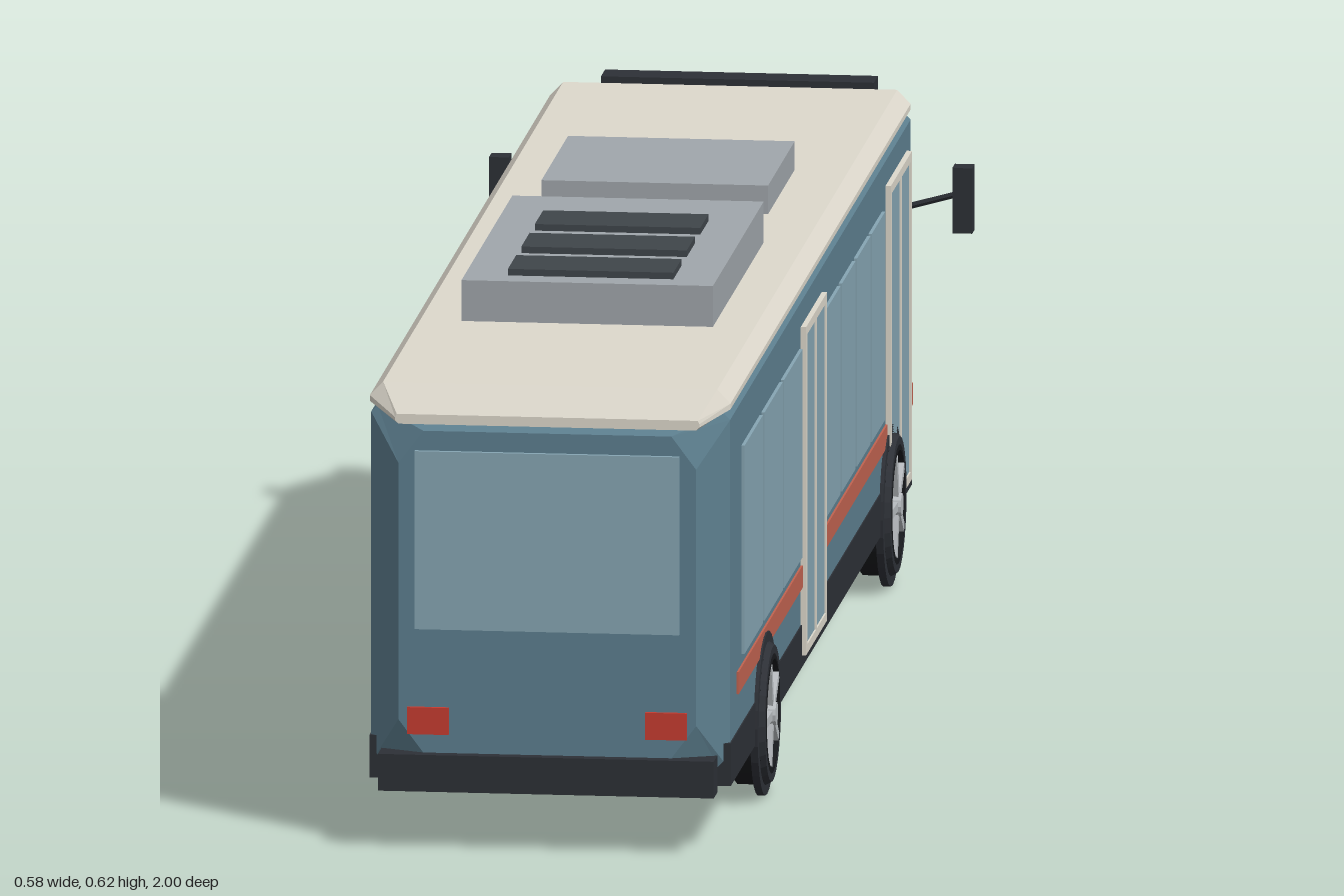
import * as THREE from 'three';

const paint = (color, extra = {}) => new THREE.MeshStandardMaterial({ color, flatShading: true, ...extra });
const M = {
  blue: paint(0x5d7f8f), glass: paint(0x86a5b3), cream: paint(0xddd8cc), dark: paint(0x2d3036),
  black: paint(0x17191c), grey: paint(0xa0a6ab), vent: paint(0x3f454a), red: paint(0xc63c31),
  stripe: paint(0xc0624f), amber: paint(0xd08c22), lamp: paint(0xd8d2b4), rim: paint(0xb8bcc0),
};

export function createModel() {
  const bus = new THREE.Group();
  bus.name = 'cityBus';

  const add = (name, geometry, material, parent = bus) => {
    const mesh = new THREE.Mesh(geometry, material);
    mesh.name = name;
    parent.add(mesh);
    return mesh;
  };
  // Box given by its limits on each axis
  const box = (name, mat, x0, x1, y0, y1, z0, z1, parent = bus) => {
    const m = add(name, new THREE.BoxGeometry(Math.abs(x1 - x0), y1 - y0, Math.abs(z1 - z0)), mat, parent);
    m.position.set((x0 + x1) / 2, (y0 + y1) / 2, (z0 + z1) / 2);
    return m;
  };
  // Skin over cross-sections running from +z to -z, with closed ends
  const loft = (rings) => {
    const pos = [];
    const tri = (...pts) => pts.forEach((p) => pos.push(...p));
    const n = rings[0].length;
    for (let r = 0; r < rings.length - 1; r++) {
      const a = rings[r], b = rings[r + 1];
      for (let i = 0; i < n; i++) {
        const j = (i + 1) % n;
        tri(a[i], b[i], a[j]);
        tri(a[j], b[i], b[j]);
      }
    }
    const first = rings[0], last = rings[rings.length - 1];
    for (let i = 1; i < n - 1; i++) {
      tri(first[0], first[i], first[i + 1]);
      tri(last[0], last[i + 1], last[i]);
    }
    const g = new THREE.BufferGeometry();
    g.setAttribute('position', new THREE.Float32BufferAttribute(pos, 3));
    g.computeVertexNormals();
    return g;
  };
  // Octagon section: half width, bottom, top, corner cut in x and y
  const section = (z, w, y0, y1, cx, cy) => [
    [w - cx, y0, z], [w, y0 + cy, z], [w, y1 - cy, z], [w - cx, y1, z],
    [cx - w, y1, z], [-w, y1 - cy, z], [-w, y0 + cy, z], [cx - w, y0, z],
  ];

  // Body shell with bevelled ends
  add('bodyShell', loft([
    section(0.985, 0.18, 0.118, 0.512, 0.03, 0.04),
    section(0.95, 0.217, 0.09, 0.535, 0.008, 0.008),
    section(-0.88, 0.217, 0.09, 0.535, 0.008, 0.008),
    section(-0.98, 0.18, 0.118, 0.512, 0.03, 0.045),
  ]), M.blue);

  // Roof cap with sloping ends
  const roofRing = (z, w0, w1, w2, y0, y1, y2, y3) => [
    [w0, y0, z], [w1, y1, z], [w1, y2, z], [w2, y3, z],
    [-w2, y3, z], [-w1, y2, z], [-w1, y1, z], [-w0, y0, z],
  ];
  add('roof', loft([
    roofRing(0.985, 0.18, 0.184, 0.182, 0.52, 0.524, 0.528, 0.532),
    roofRing(0.955, 0.2, 0.218, 0.202, 0.53, 0.541, 0.548, 0.565),
    roofRing(-0.87, 0.2, 0.218, 0.202, 0.53, 0.541, 0.548, 0.565),
    roofRing(-0.965, 0.18, 0.184, 0.182, 0.52, 0.524, 0.528, 0.532),
  ]), M.cream);

  // Lower dark parts
  box('skirt', M.dark, -0.2185, 0.2185, 0.08, 0.132, -0.88, 0.957);
  box('underfloor', M.black, -0.195, 0.195, 0.077, 0.115, -0.965, 0.965);
  box('rearBumper', M.dark, -0.203, 0.203, 0.073, 0.118, 0.96, 1.0);
  box('frontBumper', M.dark, -0.203, 0.203, 0.073, 0.118, -1.0, -0.96);

  // End glass, lamps and destination sign
  box('rearWindow', M.glass, -0.16, 0.16, 0.27, 0.488, 0.975, 0.991);
  box('windshield', M.glass, -0.163, 0.163, 0.255, 0.498, -0.987, -0.97);
  box('signHousing', M.dark, -0.165, 0.165, 0.525, 0.558, -0.985, -0.943);
  box('signDisplay', M.amber, -0.12, 0.12, 0.534, 0.55, -0.99, -0.98);

  // Roof equipment
  box('rearRoofUnit', M.grey, -0.152, 0.152, 0.56, 0.615, 0.065, 0.58);
  [0.23, 0.367, 0.503].forEach((z) => box('roofVent', M.vent, -0.1, 0.1, 0.61, 0.623, z - 0.042, z + 0.042));
  box('frontRoofUnit', M.grey, -0.137, 0.137, 0.56, 0.6, -0.375, -0.105);

  // Side windows from rear to front: [rear z, front z]
  const windows = [
    [0.838, 0.652], [0.635, 0.45], [0.437, 0.25],
    [0, -0.135], [-0.15, -0.288], [-0.303, -0.438], [-0.452, -0.588],
  ];

  // Wheel with its outer face along +z before turning
  const makeWheel = (side, z) => {
    const wheel = new THREE.Group();
    wheel.name = 'wheel';
    const profile = [[0.001, -0.025], [0.076, -0.025], [0.086, -0.017], [0.086, 0.017], [0.08, 0.023], [0.066, 0.024], [0.064, 0.017], [0.001, 0.017]]
      .map(([r, h]) => new THREE.Vector2(r, h));
    add('tire', new THREE.LatheGeometry(profile, 24).rotateX(Math.PI / 2), M.black, wheel);
    add('outerRing', new THREE.CylinderGeometry(0.099, 0.099, 0.009, 28, 1, false).rotateX(Math.PI / 2), M.dark, wheel).position.z = 0.012;
    const sidewall = add('sidewall', new THREE.TorusGeometry(0.077, 0.011, 6, 28), M.dark, wheel);
    sidewall.position.z = 0.014;
    add('hub', new THREE.CylinderGeometry(0.014, 0.016, 0.012, 12).rotateX(Math.PI / 2), M.rim, wheel).position.z = 0.022;
    for (let i = 0; i < 5; i++) {
      const spoke = add('spoke', new THREE.BoxGeometry(0.011, 0.054, 0.007).translate(0, 0.037, 0.021), M.rim, wheel);
      spoke.rotation.z = (i / 5) * Math.PI * 2 + 0.3;
    }
    wheel.position.set(side * 0.205, 0.1, z);
    wheel.rotation.y = side * Math.PI / 2;
    bus.add(wheel);
  };

  for (const s of [1, -1]) {
    windows.forEach(([a, b]) => box('sideWindow', M.glass, s * 0.21, s * 0.221, 0.218, 0.473, b, a));
    box('sideStripe', M.stripe, s * 0.21, s * 0.2195, 0.178, 0.205, -0.88, 0.885);
    box('tailLamp', M.red, s * 0.119, s * 0.169, 0.141, 0.174, 0.975, 0.99);
    box('headlamp', M.lamp, s * 0.119, s * 0.165, 0.148, 0.178, -0.987, -0.97);
    makeWheel(s, 0.612);
    makeWheel(s, -0.66);

    // Wing mirror on a slanted arm
    box('mirror', M.dark, s * 0.268, s * 0.292, 0.39, 0.47, -0.9, -0.874);
    const arm = new THREE.LineCurve3(new THREE.Vector3(s * 0.205, 0.415, -0.898), new THREE.Vector3(s * 0.275, 0.436, -0.888));
    add('mirrorArm', new THREE.TubeGeometry(arm, 1, 0.004, 6), M.dark);
  }

  // Double-leaf doors on the left side
  for (const z of [0.128, -0.732]) {
    const door = new THREE.Group();
    door.name = 'door';
    bus.add(door);
    box('doorGlass', M.glass, 0.205, 0.2215, 0.1, 0.49, z - 0.1, z + 0.1, door);
    [-0.101, 0, 0.101].forEach((d) => {
      const h = d ? 0.006 : 0.004;
      box('doorPost', M.cream, 0.205, 0.2235, 0.095, 0.497, z + d - h, z + d + h, door);
    });
    box('doorHeader', M.cream, 0.205, 0.2235, 0.486, 0.497, z - 0.101, z + 0.101, door);
    box('doorSill', M.cream, 0.205, 0.2235, 0.095, 0.106, z - 0.101, z + 0.101, door);
  }

  return bus;
}
